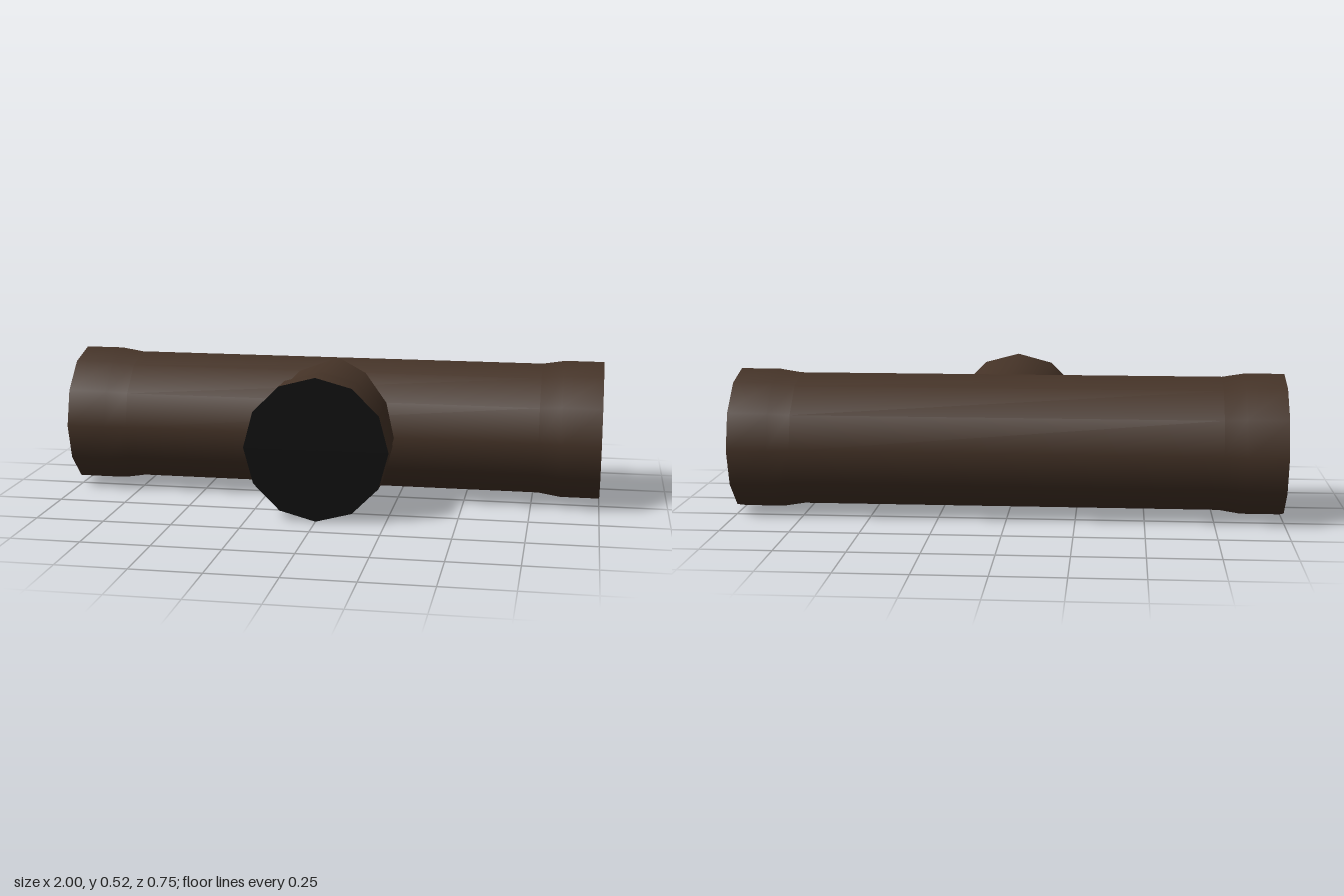
import * as THREE from 'three';

const SIDES = 12;
const AXIS_Y = 0.262, AXIS_Z = -0.112; // centre line of the main pipe
const R = 0.249, R_END = 0.262;        // plain radius and flared socket radius

export function createModel() {
  const group = new THREE.Group();
  const brown = new THREE.MeshStandardMaterial({ color: 0x453327 });
  brown.name = 'brown pipe';
  const black = new THREE.MeshStandardMaterial({ color: 0x0e0e0e });
  black.name = 'black opening';

  const add = (name, geometry, material) => {
    const mesh = new THREE.Mesh(geometry, material);
    mesh.name = name;
    mesh.position.set(0, AXIS_Y, AXIS_Z);
    group.add(mesh);
  };
  const lathe = (profile) =>
    new THREE.LatheGeometry(profile.map(([r, y]) => new THREE.Vector2(r, y)), SIDES);

  // Main pipe along x, with a flared socket at each end
  const main = lathe([
    [R_END, -1], [R_END, -0.856], [R, -0.775],
    [R, 0.775], [R_END, 0.856], [R_END, 1],
  ]);
  add('mainPipe', main.rotateZ(-Math.PI / 2), brown);

  // Branch along +z, its inner end mitred to the main pipe
  const length = 0.375 - AXIS_Z;
  const branch = lathe([[R, 0], [R, length - 0.185], [R_END, length - 0.105], [R_END, length]]);
  const p = branch.attributes.position;
  for (let i = 0; i < p.count; i++) {
    if (p.getY(i) === 0) p.setY(i, Math.abs(p.getX(i)));
  }
  add('branchPipe', branch.rotateX(Math.PI / 2), brown);

  // Dark discs closing the three openings
  const disc = (distance) => new THREE.CircleGeometry(R_END, SIDES).translate(0, 0, distance);
  add('leftOpening', disc(1).rotateY(Math.PI / 2), black);
  add('rightOpening', disc(1).rotateY(-Math.PI / 2), black);
  add('frontOpening', disc(length), black);

  return group;
}
